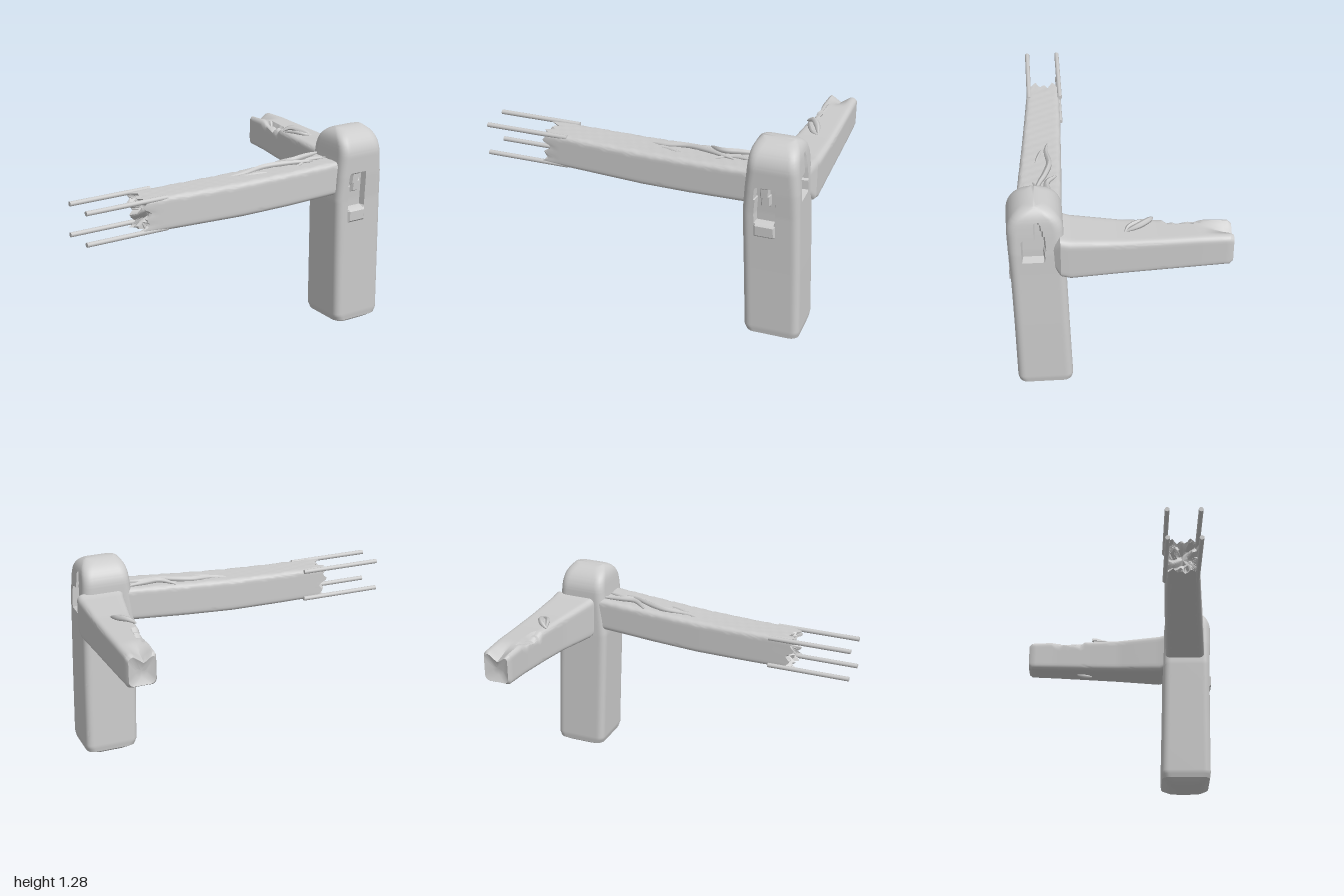
import * as THREE from 'three';
import { toCreasedNormals } from 'three/addons/utils/BufferGeometryUtils.js';

const { lerp, smoothstep } = THREE.MathUtils;
const material = new THREE.MeshStandardMaterial({ color: 0xcccccc });

// Point list of a rounded rectangle, counter-clockwise
function ring(a0, a1, b0, b1, r, side) {
  r = Math.min(r, (a1 - a0) * 0.49, (b1 - b0) * 0.49);
  const arcs = [[a1 - r, b0 + r, -1], [a1 - r, b1 - r, 0], [a0 + r, b1 - r, 1], [a0 + r, b0 + r, 2]];
  const corner = ([a, b, q], k) => {
    const t = (q + k / 5) * Math.PI / 2;
    return [a + r * Math.cos(t), b + r * Math.sin(t)];
  };
  const pts = [];
  arcs.forEach((arc, i) => {
    for (let k = 0; k <= 5; k++) pts.push(corner(arc, k));
    const s = corner(arc, 5), e = corner(arcs[(i + 1) % 4], 0);
    for (let k = 1; k < side; k++) pts.push([lerp(s[0], e[0], k / side), lerp(s[1], e[1], k / side)]);
  });
  return pts;
}

// Lofts sections [t, a0, a1, b0, b1, radius] along an axis (0 x, 1 y, 2 z);
// a and b are the next two axes in cyclic order. deform moves single points.
function loft(axis, sections, step, side, deform) {
  const rows = [sections[0]];
  for (let i = 1; i < sections.length; i++) {
    const p = sections[i - 1], q = sections[i];
    const n = Math.max(1, Math.ceil(Math.abs(q[0] - p[0]) / step));
    for (let k = 1; k <= n; k++) rows.push(p.map((v, j) => lerp(v, q[j], k / n)));
  }
  const pos = [], index = [];
  const add = (t, a, b) => {
    const p = new THREE.Vector3();
    p.setComponent(axis, t).setComponent((axis + 1) % 3, a).setComponent((axis + 2) % 3, b);
    if (deform) deform(p);
    pos.push(p.x, p.y, p.z);
  };
  rows.forEach(([t, ...s]) => ring(...s, side).forEach(([a, b]) => add(t, a, b)));
  const m = 4 * (side + 5), last = (rows.length - 1) * m;
  for (let i = 0; i < rows.length - 1; i++) {
    for (let j = 0; j < m; j++) {
      const a = i * m + j, b = i * m + (j + 1) % m;
      index.push(a, b, b + m, a, b + m, a + m);
    }
  }
  // End caps
  const c = rows.length * m;
  [rows[0], rows[rows.length - 1]].forEach(([t, a0, a1, b0, b1]) => add(t, (a0 + a1) / 2, (b0 + b1) / 2));
  for (let j = 0; j < m; j++) {
    const k = (j + 1) % m;
    index.push(c, k, j, c + 1, last + j, last + k);
  }
  const g = new THREE.BufferGeometry();
  g.setAttribute('position', new THREE.Float32BufferAttribute(pos, 3));
  g.setIndex(index);
  return toCreasedNormals(g, 0.6);
}

const inside = (v, a, b) => v > a && v < b;
const wave = (a, b) => Math.sin(a * 61 + b * 37) * Math.sin(a * 29 - b * 83);

function addMesh(group, name, geometry) {
  const mesh = new THREE.Mesh(geometry, material);
  mesh.name = name;
  group.add(mesh);
  return mesh;
}

// Flattened splinter following a few points
function splinter(group, name, points, radius) {
  const curve = new THREE.CatmullRomCurve3(points.map(p => new THREE.Vector3(...p)));
  const g = new THREE.TubeGeometry(curve, 28, radius, 6);
  const p = g.attributes.position;
  for (let i = 0; i < p.count; i++) {
    // taper toward both ends
    const u = Math.floor(i / 7) / 28, c = curve.getPointAt(u);
    const v = new THREE.Vector3().fromBufferAttribute(p, i);
    v.lerp(c, 1 - Math.pow(Math.sin(Math.PI * lerp(0.03, 0.97, u)), 0.6));
    p.setXYZ(i, v.x, v.y, v.z);
  }
  g.computeVertexNormals();
  return addMesh(group, name, g);
}

export function createModel() {
  const group = new THREE.Group();
  group.name = 'brokenPostAndBeams';

  // Upright post: blunt point below, arched top, dented openings on two faces
  const post = [
    [0.0, 0.40, 0.44, 0.81, 0.87, 0.02],
    [0.03, 0.32, 0.56, 0.71, 0.95, 0.05],
    [0.055, 0.285, 0.595, 0.67, 0.985, 0.05],
    [0.09, 0.28, 0.60, 0.66, 0.99, 0.04],
    [0.50, 0.293, 0.605, 0.645, 0.978, 0.04],
    [0.85, 0.303, 0.612, 0.632, 0.965, 0.04],
    [1.0, 0.31, 0.62, 0.64, 0.96, 0.045],
  ];
  for (let i = 0; i <= 14; i++) {
    const f = i / 14 * 1.5, s = Math.sin(f), h = 0.155 * Math.cos(f);
    const inset = 0.045 * s ** 5;
    post.push([1.125 + 0.155 * s, 0.469 - h, 0.469 + h, lerp(0.65, 0.662, s) + inset, lerp(0.95, 0.935, s) - inset, 0.05]);
  }
  addMesh(group, 'post', loft(1, post, 0.012, 24, p => {
    if (p.x > 0.9) {
      if (inside(p.z, 0.42, 0.545) && inside(p.y, 0.95, 1.08)) p.x -= 0.045;
      const u = (p.y - 1.09) / 0.11;
      if (inside(u, 0, 1) && inside(p.z, 0.42 + 0.03 * u, 0.47)) p.x -= 0.02;
    }
    if (p.z > 0.575) {
      if (inside(p.x, 0.71, 0.825) && inside(p.y, 0.8, 1.02)) p.z -= inside(p.x, 0.74, 0.79) && p.y > 0.9 ? 0.015 : 0.035;
      if (inside(p.x, 0.71, 0.83) && inside(p.y, 0.72, 0.785)) p.z += 0.012;
    }
  }));

  // Side beam with a hollow, ragged broken end
  addMesh(group, 'sideBeam', loft(0, [
    [-0.57, 0.93, 0.99, 0.35, 0.41, 0.02],
    [-0.61, 0.875, 1.045, 0.293, 0.462, 0.02],
    [-0.62, 0.86, 1.06, 0.28, 0.478, 0.025],
    [-0.30, 0.857, 1.06, 0.283, 0.502, 0.028],
    [0.0, 0.855, 1.063, 0.292, 0.525, 0.03],
    [0.3, 0.867, 1.075, 0.303, 0.55, 0.03],
    [0.70, 0.89, 1.095, 0.318, 0.58, 0.03],
  ], 0.03, 10, p => {
    p.x += 0.035 * wave(p.y, p.z) * smoothstep(-p.x, 0.54, 0.61);
    if (p.y > 1.04) p.y += 0.003 * wave(p.x, p.z);
  }));

  // Rear beam, tapered away from the post, with a saddle in its far end
  addMesh(group, 'rearBeam', loft(2, [
    [-0.59, 0.87, 0.94, 0.94, 1.02, 0.03],
    [-0.61, 0.83, 0.985, 0.90, 1.075, 0.03],
    [-0.59, 0.818, 0.995, 0.888, 1.085, 0.03],
    [-0.43, 0.81, 0.998, 0.882, 1.088, 0.03],
    [-0.2, 0.79, 0.997, 0.868, 1.082, 0.03],
    [0.0, 0.768, 0.995, 0.855, 1.08, 0.03],
    [0.28, 0.715, 0.992, 0.83, 1.09, 0.035],
    [0.335, 0.70, 0.99, 0.845, 1.10, 0.035],
    [0.375, 0.70, 0.955, 0.89, 1.05, 0.035],
  ], 0.03, 10, p => {
    const end = smoothstep(-p.z, 0.42, 0.6);
    const mid = Math.max(0, 1 - Math.abs(p.x - 0.895) / 0.06);
    if (p.y > 1.0) p.y -= 0.045 * end * mid;
    if (p.x < 0.85 && inside(p.z, -0.45, -0.25) && p.y > 1.0) p.y -= 0.02 + 0.015 * wave(p.z, p.y);
  }));

  // Reinforcing rods out of the broken end
  const rod = new THREE.CylinderGeometry(0.014, 0.014, 0.515, 12).rotateZ(Math.PI / 2);
  for (const y of [0.87, 1.052]) {
    for (const z of [0.277, 0.469]) addMesh(group, 'rod', rod).position.set(-0.7425, y, z);
  }

  // Torn splinters on top of the beams
  splinter(group, 'sideSplinter', [[0.01, 1.06, 0.37], [0.1, 1.068, 0.385], [0.24, 1.08, 0.37], [0.36, 1.088, 0.40], [0.46, 1.093, 0.44], [0.54, 1.09, 0.46]], 0.018);
  splinter(group, 'sideSplinter', [[0.36, 1.08, 0.33], [0.45, 1.097, 0.39], [0.54, 1.1, 0.38], [0.66, 1.1, 0.36]], 0.018);
  splinter(group, 'sideSplinter', [[0.08, 1.062, 0.41], [0.15, 1.067, 0.43], [0.22, 1.07, 0.45]], 0.01);
  splinter(group, 'sideSplinter', [[0.42, 1.08, 0.47], [0.53, 1.09, 0.43], [0.65, 1.095, 0.45]], 0.014);
  splinter(group, 'rearSplinter', [[0.79, 1.085, -0.18], [0.83, 1.105, -0.16], [0.87, 1.1, -0.1], [0.895, 1.085, -0.03]], 0.018);
  splinter(group, 'rearSplinter', [[0.80, 1.08, -0.17], [0.83, 1.09, -0.09], [0.86, 1.085, -0.04], [0.9, 1.08, -0.02]], 0.013);
  // Chip under the rear beam
  splinter(group, 'rearChip', [[0.88, 0.865, -0.28], [0.89, 0.862, -0.24], [0.9, 0.86, -0.18]], 0.014);

  return group;
}
